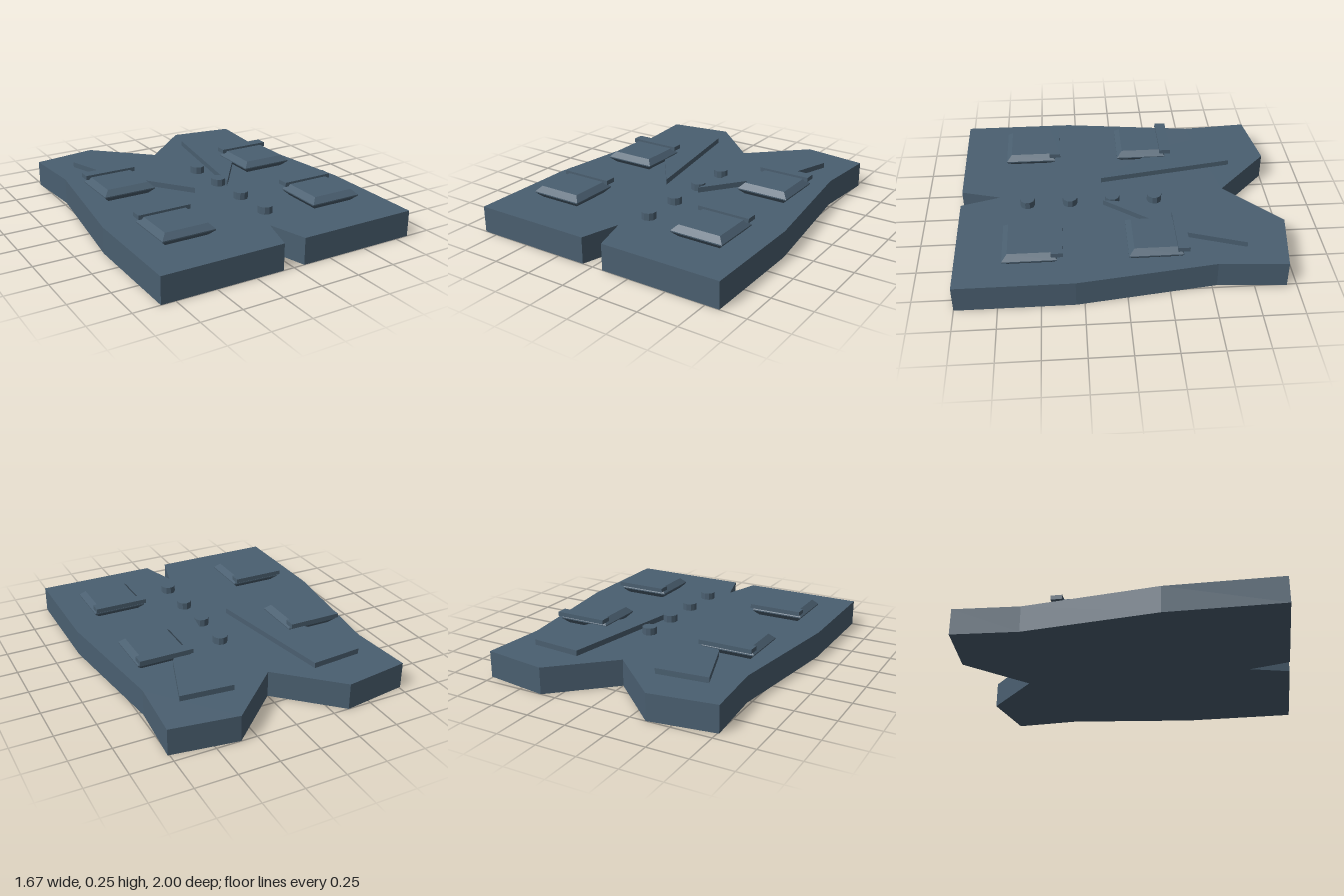
import * as THREE from 'three';

const cloth = new THREE.MeshStandardMaterial({ color: 0x4a5f70 });
cloth.name = 'slateCloth';

// Extrudes an outline of [x, z] points upward from height y
function slab(points, y, height, bevel = 0) {
  const shape = new THREE.Shape(points.map(([x, z]) => new THREE.Vector2(x, -z)));
  const geo = new THREE.ExtrudeGeometry(shape, {
    depth: height - 2 * bevel,
    bevelEnabled: bevel > 0,
    bevelThickness: bevel,
    bevelSize: bevel,
    bevelOffset: -bevel,
    bevelSegments: 1,
  });
  geo.rotateX(-Math.PI / 2);
  geo.translate(0, y + bevel, 0);
  return geo;
}

const rect = (x0, x1, z0, z1) => [[x0, z0], [x1, z0], [x1, z1], [x0, z1]];

export function createModel() {
  const model = new THREE.Group();
  model.name = 'vest';
  const add = (name, geo) => {
    const mesh = new THREE.Mesh(geo, cloth);
    mesh.name = name;
    model.add(mesh);
    return mesh;
  };
  const top = 0.165;

  // Body: half outline mirrored about the centre line
  const half = [[0.35, -1], [0.76, -0.94], [0.73, -0.53], [0.837, 0.3], [0.837, 1], [0.07, 1]];
  const mirrored = half.map(([x, z]) => [-x, z]).reverse();
  add('body', slab([[0, -0.67], ...half, [0, 0.755], ...mirrored], 0, top));

  for (const [side, s] of [['left', 1], ['right', -1]]) {
    // Lapel
    const lapel = [[0.265, -0.755], [0.59, -0.725], [0.465, -0.355], [0.12, 0.105]];
    add(side + 'Lapel', slab(lapel.map(([x, z]) => [s * x, z]), top, 0.034));

    // Chest and hip pockets with their flaps
    for (const [level, z] of [['Chest', -0.37], ['Hip', 0.365]]) {
      const x0 = s > 0 ? 0.338 : -0.676;
      const x1 = x0 + 0.338;
      add(side + level + 'Pocket', slab(rect(x0, x1, z + 0.035, z + 0.355), top, 0.073, 0.033));
      add(side + level + 'Flap', slab(rect(x0, x1, z, z + 0.07), 0.225, 0.027));
    }
  }

  // Buttons down the left edge of the opening
  for (let i = 0; i < 4; i++) {
    const button = add('button' + (i + 1), new THREE.CylinderGeometry(0.046, 0.046, 0.045, 10).toNonIndexed());
    button.geometry.computeVertexNormals();
    button.position.set(0.087, top + 0.0225, -0.22 + i * 0.266);
  }

  return model;
}
